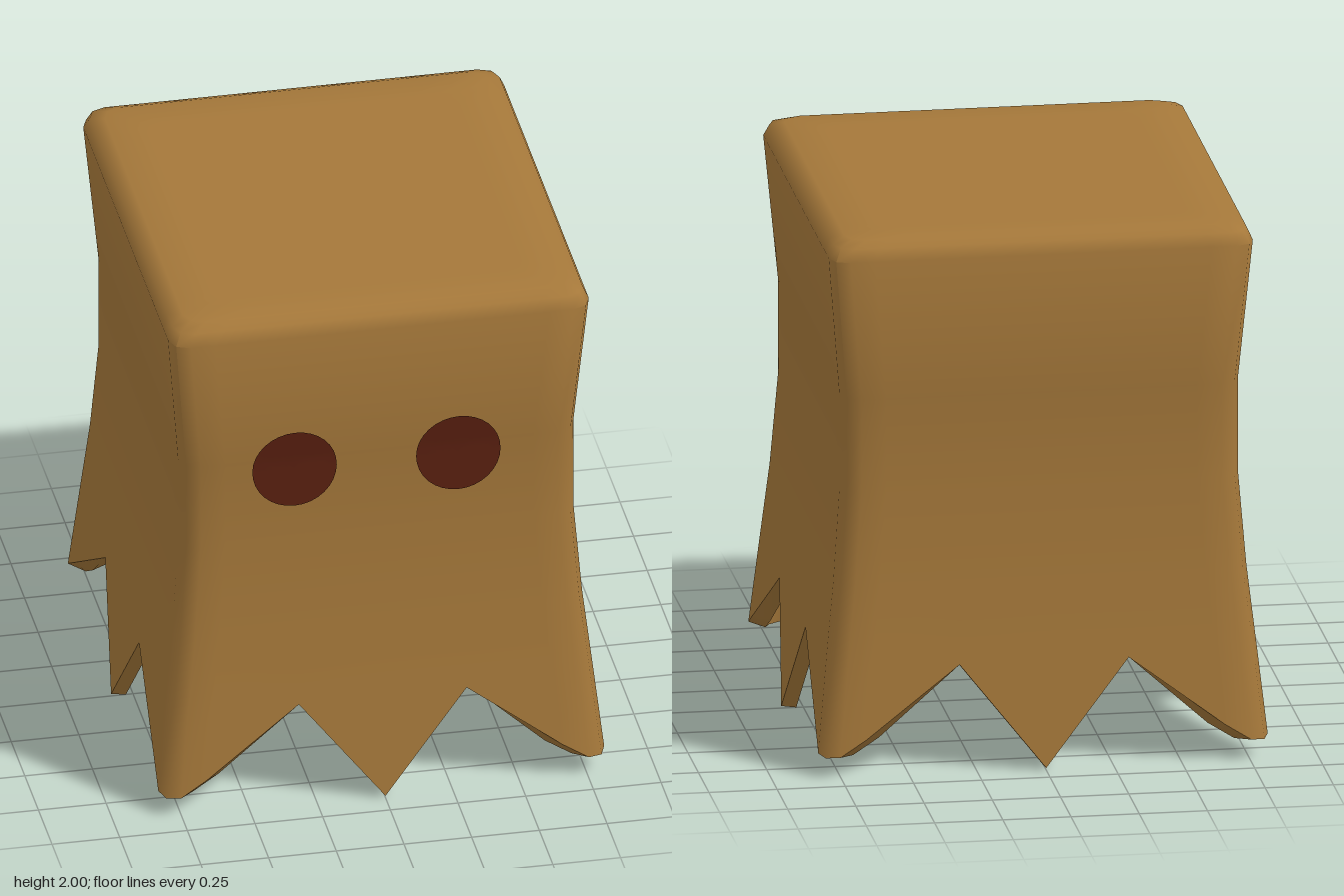
import * as THREE from 'three';
import { toCreasedNormals } from 'three/addons/utils/BufferGeometryUtils.js';

// Half-width (x) and half-depth (z) of the bag by height
const PROFILE = [
  [0, 0.832, 0.912], [0.4, 0.79, 0.86], [0.7, 0.757, 0.826], [1.05, 0.73, 0.8],
  [1.4, 0.73, 0.8], [1.935, 0.777, 0.85], [1.98, 0.757, 0.83], [2, 0.71, 0.785],
];
const THICK = 0.055;

function halfSize(y) {
  let i = 1;
  while (i < PROFILE.length - 1 && y > PROFILE[i][0]) i++;
  const [y0, w0, d0] = PROFILE[i - 1], [y1, w1, d1] = PROFILE[i];
  const t = THREE.MathUtils.clamp((y - y0) / (y1 - y0), 0, 1);
  return [w0 + (w1 - w0) * t, d0 + (d1 - d0) * t];
}

// Columns of one side: zigzag hem height and position along the side,
// either fixed (u) or measured in from the corner (edge)
const COLUMNS = [
  { edge: -0.07, hem: 0.08 }, { edge: -0.16, hem: 0.14 },
  { u: -0.31, hem: 0.4 }, { u: 0, hem: 0.01 }, { u: 0.31, hem: 0.4 },
  { edge: 0.16, hem: 0.14 }, { edge: 0.07, hem: 0.08 }, { corner: true, hem: 0.075 },
];

// One closed loop around the bag; y null means the zigzag hem
function ring({ y = null, inset = 0, lift = 0 }) {
  const points = [];
  for (let side = 0; side < 4; side++) {
    for (const col of COLUMNS) {
      const h = y ?? col.hem;
      let [w, d] = halfSize(h);
      w -= inset;
      d -= inset;
      if (side % 2) [w, d] = [d, w];
      let u = col.u ?? 0, out = d;
      if (col.edge) u = Math.sign(col.edge) * (w - Math.abs(col.edge));
      if (col.corner) {
        u = w - 0.02;
        out = d - 0.02;
      }
      const [x, z] = [[u, out], [out, -u], [-u, -out], [-out, u]][side];
      points.push([x, h + lift, z]);
    }
  }
  return points;
}

// Hollow shell: down the outside, across the hem, up the inside
function bagGeometry() {
  const rows = [
    { y: 2, inset: 0.14 }, { y: 2 }, { y: 1.98 }, { y: 1.935 }, { y: 1.4 },
    { y: 1.05 }, { y: 0.7 }, { y: 0.45 }, {},
    { inset: THICK, lift: -0.008 }, { y: 0.45, inset: THICK }, { y: 0.7, inset: THICK },
    { y: 1.05, inset: THICK }, { y: 1.4, inset: THICK }, { y: 1.9, inset: THICK },
    { y: 1.935, inset: 0.1, lift: 0.01 },
  ].map(ring);
  const n = rows[0].length;
  const positions = rows.flat(2);
  const index = [];
  for (let j = 0; j < rows.length - 1; j++) {
    for (let i = 0; i < n; i++) {
      const k = (i + 1) % n;
      const a = j * n + i, b = j * n + k, c = a + n, e = b + n;
      index.push(a, c, b, b, c, e);
    }
  }
  // Outer and inner top caps
  const top = rows.length * n, last = top - n;
  positions.push(0, 2, 0, 0, 1.945, 0);
  for (let i = 0; i < n; i++) {
    const k = (i + 1) % n;
    index.push(top, i, k, top + 1, last + k, last + i);
  }
  const geo = new THREE.BufferGeometry();
  geo.setAttribute('position', new THREE.Float32BufferAttribute(positions, 3));
  geo.setIndex(index);
  return toCreasedNormals(geo, THREE.MathUtils.degToRad(55));
}

// Thin disc that follows the curve of the front panel
function eyeGeometry(cx, cy, radius) {
  const geo = new THREE.RingGeometry(0, radius, 32, 6);
  geo.translate(cx, cy, 0);
  const p = geo.attributes.position;
  for (let i = 0; i < p.count; i++) p.setZ(i, halfSize(p.getY(i))[1] + 0.006);
  geo.computeVertexNormals();
  return geo;
}

export function createModel() {
  const paper = new THREE.MeshStandardMaterial({ color: 0xa5783a });
  paper.name = 'brown paper';
  const dark = new THREE.MeshStandardMaterial({ color: 0x5a2010 });
  dark.name = 'dark red brown';

  const group = new THREE.Group();
  group.name = 'paperBagMask';
  const add = (name, geo, mat) => {
    const mesh = new THREE.Mesh(geo, mat);
    mesh.name = name;
    group.add(mesh);
  };
  add('bag', bagGeometry(), paper);
  add('rightEye', eyeGeometry(-0.315, 1.36, 0.156), dark);
  add('leftEye', eyeGeometry(0.29, 1.36, 0.156), dark);
  return group;
}
